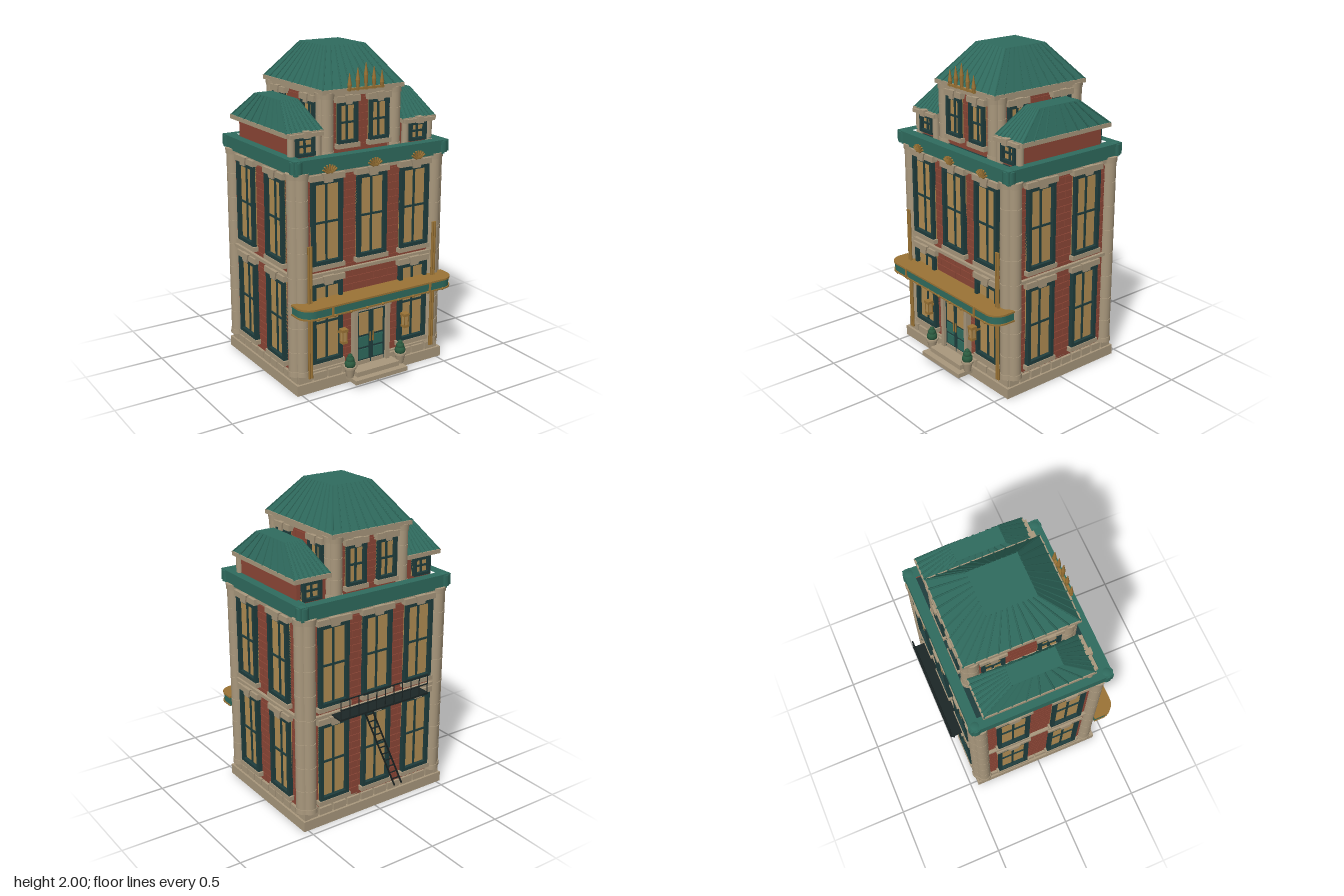
import * as THREE from 'three';
import { mergeGeometries } from 'three/addons/utils/BufferGeometryUtils.js';

const mat = (color) => new THREE.MeshStandardMaterial({ color });
const STONE = mat(0xa8977c), BRICK = mat(0x8c4636), TEAL = mat(0x2f6b5e), DARK = mat(0x1f3d3d),
  GLASS = mat(0xb18d53), GOLD = mat(0x9a7335), IRON = mat(0x1c2626), LEAF = mat(0x2c5c40);
const V = (x, y, z) => new THREE.Vector3(x, y, z);

function add(parent, name, geo, material, x = 0, y = 0, z = 0) {
  const m = new THREE.Mesh(geo, material);
  m.name = name;
  m.position.set(x, y, z);
  parent.add(m);
  return m;
}
function group(parent, name, x = 0, y = 0, z = 0, ry = 0) {
  const g = new THREE.Group();
  g.name = name;
  g.position.set(x, y, z);
  g.rotation.y = ry;
  parent.add(g);
  return g;
}
// box given by its ranges
const span = (p, name, m, x0, x1, y0, y1, z0, z1) =>
  add(p, name, new THREE.BoxGeometry(x1 - x0, y1 - y0, z1 - z0), m, (x0 + x1) / 2, (y0 + y1) / 2, (z0 + z1) / 2);
const cyl = (p, name, m, rTop, rBot, y0, y1, x, z, n = 16) =>
  add(p, name, new THREE.CylinderGeometry(rTop, rBot, y1 - y0, n), m, x, (y0 + y1) / 2, z);
// straight bar between two points
function bar(p, name, m, a, b, r, n = 4) {
  const o = add(p, name, new THREE.CylinderGeometry(r, r, a.distanceTo(b), n), m);
  o.position.copy(a).lerp(b, 0.5);
  o.quaternion.setFromUnitVectors(V(0, 1, 0), b.clone().sub(a).normalize());
}

// round column of stacked drums with cap and base
function column(p, x, z, r, y0, y1, drums) {
  const g = group(p, 'column', x, 0, z), h = (y1 - y0) / drums;
  cyl(g, 'columnCore', STONE, r * 0.9, r * 0.9, y0, y1, 0, 0);
  for (let i = 0; i < drums; i++) cyl(g, 'drum', STONE, r, r, y0 + i * h + 0.003, y0 + (i + 1) * h - 0.003, 0, 0);
  cyl(g, 'columnCap', STONE, r * 1.16, r * 1.1, y1 - 0.035, y1, 0, 0);
  cyl(g, 'columnBase', STONE, r * 1.1, r * 1.14, y0, y0 + 0.03, 0, 0);
}

// framed window standing on its sill, facing +z
function windowUnit(p, x, y, w, h, f = 0.022, bars = 1, trim = true) {
  const g = group(p, 'window', x, y, 0), a = w / 2;
  span(g, 'glass', GLASS, -a, a, 0, h, 0, 0.012);
  for (const s of [-1, 1]) span(g, 'frameSide', DARK, s * (a - f / 2) - f / 2, s * (a - f / 2) + f / 2, 0, h, 0, 0.035);
  for (const b of [0, h - f]) span(g, 'frameRail', DARK, -a + f, a - f, b, b + f, 0, 0.035);
  span(g, 'mullion', DARK, -0.006, 0.006, f, h - f, 0, 0.02);
  for (let i = 1; i <= bars; i++) span(g, 'crossbar', DARK, -a + f, a - f, h * i / (bars + 1) - 0.006, h * i / (bars + 1) + 0.006, 0, 0.02);
  if (!trim) return;
  span(g, 'sill', STONE, -a - 0.012, a + 0.012, -0.028, 0, 0, 0.04);
  span(g, 'lintel', STONE, -a - 0.014, a + 0.014, h, h + 0.036, 0, 0.038);
  const k = w * 0.13, s = new THREE.Shape([[-k, -0.012], [k, -0.012], [k * 1.5, 0.042], [-k * 1.5, 0.042]].map((q) => new THREE.Vector2(...q)));
  add(g, 'keystone', new THREE.ExtrudeGeometry(s, { depth: 0.047, bevelEnabled: false }), STONE, 0, h, 0);
}

// staggered courses of raised bricks
function bricks(p, x0, x1, y0, y1, bw = 0.1, bh = 0.045) {
  const parts = [];
  for (let r = 0; y0 + (r + 1) * bh <= y1 + 0.001; r++)
    for (let x = x0 - (r % 2) * bw / 2; x < x1 - 0.01; x += bw) {
      const a = Math.max(x, x0), b = Math.min(x + bw, x1);
      parts.push(new THREE.BoxGeometry(b - a - 0.004, bh - 0.004, 0.012).translate((a + b) / 2, y0 + (r + 0.5) * bh, 0));
    }
  add(p, 'bricks', mergeGeometries(parts), BRICK);
}

// hipped roof with a flat top and standing ribs; b and t are [x0, x1, z0, z1]
function hipRoof(p, name, b, t, y0, y1, nx, nz) {
  const g = group(p, name), geo = new THREE.BoxGeometry(1, 1, 1).toNonIndexed(), q = geo.attributes.position;
  for (let i = 0; i < q.count; i++) {
    const up = q.getY(i) > 0, e = up ? t : b;
    q.setXYZ(i, e[q.getX(i) > 0 ? 1 : 0], up ? y1 : y0, e[q.getZ(i) > 0 ? 3 : 2]);
  }
  geo.computeVertexNormals();
  add(g, 'roofSlopes', geo, TEAL);
  const L = THREE.MathUtils.lerp;
  for (const s of [2, 3]) for (let i = 0; i <= nx; i++)
    bar(g, 'roofRib', TEAL, V(L(b[0], b[1], i / nx), y0, b[s]), V(L(t[0], t[1], i / nx), y1 - 0.003, t[s]), 0.006);
  for (const s of [0, 1]) for (let i = 1; i < nz; i++)
    bar(g, 'roofRib', TEAL, V(b[s], y0, L(b[2], b[3], i / nz)), V(t[s], y1 - 0.003, L(t[2], t[3], i / nz)), 0.006);
  span(g, 'eaves', STONE, b[0] - 0.004, b[1] + 0.004, y0 - 0.022, y0 + 0.004, b[2] - 0.004, b[3] + 0.004);
}

// rectangular frame with a hole, y0 upward
function ring(p, name, m, o, i, y0, y1) {
  const rect = (S, [a, b, c, d]) => new S([V(a, -c, 0), V(b, -c, 0), V(b, -d, 0), V(a, -d, 0)].map((v) => new THREE.Vector2(v.x, v.y)));
  const s = rect(THREE.Shape, o);
  s.holes.push(rect(THREE.Path, i));
  add(p, name, new THREE.ExtrudeGeometry(s, { depth: y1 - y0, bevelEnabled: false }).rotateX(-Math.PI / 2), m, 0, y0, 0);
}

export function createModel() {
  const root = new THREE.Group();
  root.name = 'townHouse';
  const H = Math.PI / 2, ZC = -0.0225;

  // plinth and steps
  span(root, 'plinth', STONE, -0.53, 0.53, 0, 0.065, -0.45, 0.42);
  span(root, 'plinthCore', STONE, -0.5, 0.5, 0.065, 0.12, -0.42, 0.39);
  for (let i = 0; i < 10; i++) for (const s of [-1, 1]) {
    const x = -0.465 + i * 0.1033, z = ZC + (-0.38 + i * 0.0844);
    span(root, 'plinthBlock', STONE, x - 0.045, x + 0.045, 0.065, 0.11, s > 0 ? 0.37 : -0.435, s > 0 ? 0.405 : -0.4);
    span(root, 'plinthBlock', STONE, s * 0.5 - 0.017, s * 0.5 + 0.017, 0.065, 0.11, z - 0.036, z + 0.036);
  }
  span(root, 'lowerStep', STONE, -0.19, 0.19, 0.028, 0.055, 0.38, 0.53);
  span(root, 'upperStep', STONE, -0.155, 0.155, 0.055, 0.085, 0.37, 0.49);

  // main walls, one group per side
  span(root, 'mainWalls', BRICK, -0.5, 0.5, 0.11, 1.38, -0.42, 0.375);
  const facades = [
    ['frontFacade', 0, 0.375, 0, 0.42, [-0.31, 0, 0.31]], ['backFacade', 0, -0.42, 2 * H, 0.42, [-0.31, 0, 0.31]],
    ['leftFacade', 0.5, ZC, H, 0.34, [-0.1875, 0.1675]], ['rightFacade', -0.5, ZC, -H, 0.34, [-0.1675, 0.1875]]];
  for (const [name, x, z, ry, half, cols] of facades) {
    const f = group(root, name, x, 0, z, ry);
    bricks(f, -half, half, 0.125, 1.31);
    for (const c of cols) {
      if (name !== 'frontFacade' || c) windowUnit(f, c, 0.17, 0.205, 0.505);
      windowUnit(f, c, 0.785, 0.205, 0.505);
    }
    span(f, 'floorBand', STONE, -half - 0.03, half + 0.03, 0.712, 0.732, 0, 0.026);
    span(f, 'frieze', STONE, -half - 0.03, half + 0.03, 1.31, 1.345, 0, 0.02);
  }

  // paired corner columns
  for (const s of [-1, 1]) for (const [x, z] of [[0.47, 0.373], [0.5, 0.348], [0.47, -0.418], [0.5, -0.393]])
    column(root, s * x, z, 0.043, 0.11, 1.345, 8);

  // roof gutter and deck
  span(root, 'roofDeck', DARK, -0.48, 0.48, 1.375, 1.39, -0.41, 0.37);
  ring(root, 'gutterFoot', TEAL, [-0.525, 0.525, -0.445, 0.41], [-0.47, 0.47, -0.395, 0.36], 1.335, 1.36);
  ring(root, 'gutter', TEAL, [-0.54, 0.54, -0.455, 0.425], [-0.47, 0.47, -0.395, 0.36], 1.355, 1.425);
  for (const x of [-0.508, 0.508]) for (const z of [-0.423, 0.393]) {
    cyl(root, 'cornerKnob', TEAL, 0.04, 0.04, 1.35, 1.418, x, z, 10);
    add(root, 'cornerKnobTop', new THREE.SphereGeometry(0.04, 10, 6, 0, 7, 0, H), TEAL, x, 1.41, z).scale.y = 0.5;
  }

  // central upper storey
  const UZ = -0.0375;
  span(root, 'upperWalls', BRICK, -0.25, 0.25, 1.38, 1.76, -0.355, 0.28);
  const upper = [['upperFront', 0, 0.28, 0, 0.21, 0.11], ['upperBack', 0, -0.355, 2 * H, 0.21, 0.11],
    ['upperLeft', 0.25, UZ, H, 0.26, 0.17], ['upperRight', -0.25, UZ, -H, 0.26, 0.17]];
  for (const [name, x, z, ry, half, c] of upper) {
    const f = group(root, name, x, 0, z, ry);
    bricks(f, -half, half, 1.4, 1.74);
    for (const s of [-1, 1]) windowUnit(f, s * c, 1.46, 0.135, 0.24, 0.018);
    span(f, 'upperFrieze', STONE, -half, half, 1.735, 1.77, 0, 0.025);
  }
  for (const s of [-1, 1]) for (const [x, z] of [[0.235, 0.275], [0.248, 0.25], [0.235, -0.35], [0.248, -0.325]])
    column(root, s * x, z, 0.04, 1.39, 1.76, 3);
  hipRoof(root, 'mainRoof', [-0.28, 0.28, -0.385, 0.31], [-0.135, 0.135, -0.185, 0.11], 1.775, 2, 9, 10);

  // side dormers
  for (const s of [-1, 1]) {
    const g = group(root, 'sideDormer');
    const ext = (a, b) => (s > 0 ? [a, b] : [-b, -a]);
    span(g, 'dormerWalls', BRICK, ...ext(0.27, 0.485), 1.38, 1.54, -0.33, 0.28);
    hipRoof(g, 'dormerRoof', [...ext(0.28, 0.52), -0.37, 0.31], [...ext(0.342, 0.455), -0.17, 0.13], 1.555, 1.715, 7, 8);
    for (const [z, ry] of [[0.28, 0], [-0.33, 2 * H]]) {
      const f = group(g, 'dormerFace', s * 0.395, 0, z, ry);
      windowUnit(f, 0, 1.415, 0.125, 0.115, 0.018, 1, false);
      if (ry) continue;
      span(f, 'dormerLintel', STONE, -0.11, 0.11, 1.53, 1.553, 0, 0.05);
      add(f, 'dormerKeystone', new THREE.BoxGeometry(0.04, 0.04, 0.06), STONE, 0, 1.545, 0.03);
      for (const e of [-1, 1]) cyl(f, 'dormerColumn', STONE, 0.022, 0.022, 1.39, 1.535, e * 0.088, 0.015, 12);
    }
  }

  // gilded crest over the upper front and fans on the gutter
  for (let i = -2; i <= 2; i++) {
    const x = i * 0.056, top = 1.92 - Math.abs(i) * 0.026;
    cyl(root, 'crestStem', GOLD, 0.013, 0.008, 1.765, top - 0.07, x, 0.326, 8);
    cyl(root, 'crestTip', GOLD, 0.002, 0.013, top - 0.07, top, x, 0.326, 8);
  }
  span(root, 'crestBar', GOLD, -0.125, 0.125, 1.768, 1.78, 0.318, 0.334);
  for (const x of [-0.31, 0, 0.31]) for (let i = -3; i <= 3; i++) {
    const a = i * 0.38;
    bar(root, 'gutterFan', GOLD, V(x + i * 0.004, 1.335, 0.428), V(x + Math.sin(a) * 0.052, 1.34 + Math.cos(a) * 0.045, 0.43), 0.006, 6);
  }

  // entrance canopy with rounded front corners
  const canopy = (name, m, grow, y0, y1) => {
    const w = 0.54 + grow, z = 0.522 + grow, r = 0.085, s = new THREE.Shape();
    s.moveTo(-w, 0.38).lineTo(w, 0.38).lineTo(w, z - r);
    s.absarc(w - r, z - r, r, 0, H, false).absarc(-w + r, z - r, r, H, 2 * H, false).closePath();
    add(root, name, new THREE.ExtrudeGeometry(s, { depth: y1 - y0, bevelEnabled: false, curveSegments: 8 }).rotateX(H), m, 0, y1, 0);
  };
  canopy('canopyBand', TEAL, 0, 0.51, 0.57);
  canopy('canopyTop', GOLD, 0.005, 0.564, 0.575);
  canopy('canopyTrim', GOLD, 0.005, 0.508, 0.517);
  for (let i = -4; i <= 4; i++) add(root, 'canopyBead', new THREE.SphereGeometry(0.009, 8, 6), GOLD, i * 0.112, 0.512, 0.525);
  for (const x of [-0.35, 0.35]) span(root, 'canopyClip', GOLD, x - 0.006, x + 0.006, 0.508, 0.575, 0.515, 0.531);

  // double door in a stone surround
  const door = group(root, 'entrance', 0, 0, 0.375);
  for (const s of [-1, 1]) {
    span(door, 'doorJamb', STONE, s * 0.118 - 0.013, s * 0.118 + 0.013, 0.085, 0.45, 0, 0.045);
    const leaf = group(door, 'doorLeaf', s * 0.053, 0, 0);
    span(leaf, 'doorPanel', DARK, -0.052, 0.0515, 0.085, 0.45, 0, 0.025);
    span(leaf, 'doorGlass', GLASS, -0.032, 0.032, 0.28, 0.425, 0.02, 0.031);
    for (const y of [0.12, 0.2]) span(leaf, 'lowerPanel', TEAL, -0.034, 0.034, y, y + 0.065, 0.02, 0.031);
    bar(leaf, 'doorHandle', GOLD, V(-s * 0.042, 0.23, 0.036), V(-s * 0.042, 0.29, 0.036), 0.005, 8);

    // lanterns, potted shrubs and tall gilded poles
    const lamp = group(root, 'lantern', s * 0.225, 0, 0.445);
    span(lamp, 'lanternArm', GOLD, -0.007, 0.007, 0.33, 0.344, -0.075, 0);
    span(lamp, 'lanternBody', GLASS, -0.014, 0.014, 0.295, 0.355, -0.014, 0.014);
    for (const x of [-0.015, 0.015]) for (const z of [-0.015, 0.015]) bar(lamp, 'lanternPost', GOLD, V(x, 0.29, z), V(x, 0.36, z), 0.004);
    span(lamp, 'lanternTop', GOLD, -0.021, 0.021, 0.355, 0.372, -0.021, 0.021);
    span(lamp, 'lanternFoot', GOLD, -0.018, 0.018, 0.28, 0.296, -0.018, 0.018);
    const pot = group(root, 'pottedShrub', s * 0.185, 0, 0.455);
    cyl(pot, 'pot', STONE, 0.034, 0.022, 0.055, 0.115, 0, 0, 12);
    cyl(pot, 'potRim', STONE, 0.039, 0.039, 0.112, 0.124, 0, 0, 12);
    [[0.14, 0.034], [0.168, 0.026], [0.19, 0.016]].forEach(([y, r]) => add(pot, 'foliage', new THREE.IcosahedronGeometry(r, 1), LEAF, 0, y, 0));
    for (const [x, top] of [[0.452, 0.92], [0.436, 0.92]]) cyl(root, 'gildedPole', GOLD, 0.008, 0.008, 0.1, top, s * x, 0.427, 8);
  }
  span(door, 'doorLintel', STONE, -0.135, 0.135, 0.445, 0.472, 0, 0.05);

  // fire escape on the back
  const esc = group(root, 'fireEscape');
  span(esc, 'platform', IRON, -0.328, 0.328, 0.712, 0.724, -0.535, -0.44);
  for (let i = 0; i <= 10; i++) bar(esc, 'railPost', IRON, V(-0.322 + i * 0.0644, 0.72, -0.53), V(-0.322 + i * 0.0644, 0.84, -0.53), 0.004);
  for (const y of [0.78, 0.84]) bar(esc, 'handrail', IRON, V(-0.325, y, -0.53), V(0.325, y, -0.53), 0.005);
  for (const o of [-0.028, 0.028]) bar(esc, 'ladderRail', IRON, V(0.1 + o, 0.72, -0.485), V(-0.15 + o, 0.12, -0.485), 0.006);
  for (let i = 1; i < 12; i++) {
    const x = 0.1 - 0.25 * i / 12, y = 0.72 - 0.6 * i / 12;
    bar(esc, 'ladderRung', IRON, V(x - 0.028, y, -0.485), V(x + 0.028, y, -0.485), 0.005);
  }
  return root;
}
